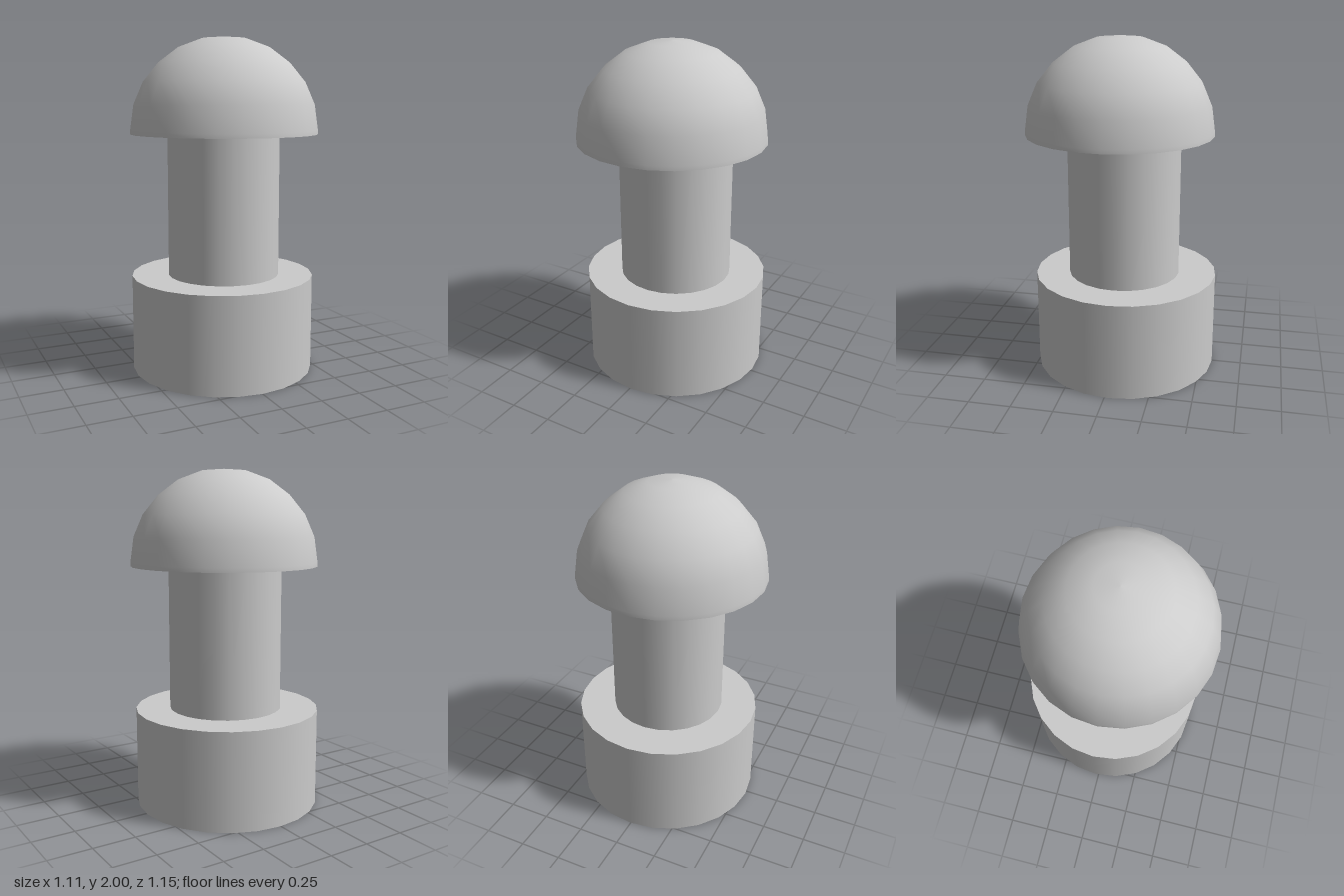
import * as THREE from 'three';

const SIDES = 24;
const material = new THREE.MeshStandardMaterial({ color: 0xcccccc });

// Revolves each run of [radius, height] points; creases stay sharp between runs.
function turned(name, x, z, runs) {
  const part = new THREE.Group();
  part.name = name;
  part.position.set(x, 0, z);
  for (const [label, points] of Object.entries(runs)) {
    const profile = points.map(([r, y]) => new THREE.Vector2(r, y));
    const mesh = new THREE.Mesh(new THREE.LatheGeometry(profile, SIDES), material);
    mesh.name = label;
    part.add(mesh);
  }
  return part;
}

function cylinder(name, radius, bottom, top, x, z) {
  const mesh = new THREE.Mesh(
    new THREE.CylinderGeometry(radius, radius, top - bottom, SIDES), material);
  mesh.name = name;
  mesh.position.set(x, (bottom + top) / 2, z);
  return mesh;
}

export function createModel() {
  const model = new THREE.Group();
  model.name = 'domedPost';

  // Wide foot and the stem standing in it
  model.add(cylinder('base', 0.551, 0, 0.579, 0.005, -0.021));
  model.add(cylinder('stem', 0.337, 0.5, 1.75, 0.009, -0.011));

  // Domed head, with a socket slightly wider than the stem
  const head = turned('head', -0.001, 0.018, {
    socketRoof: [[0, 1.75], [0.37, 1.75]],
    socketWall: [[0.37, 1.75], [0.37, 1.435]],
    underside: [[0.37, 1.435], [0.557, 1.435]],
    dome: [[0.557, 1.435], [0.556, 1.46], [0.535, 1.608], [0.479, 1.737],
      [0.387, 1.85], [0.27, 1.938], [0.134, 1.989], [0, 2]],
  });
  head.rotation.y = 0.024;
  model.add(head);

  return model;
}
